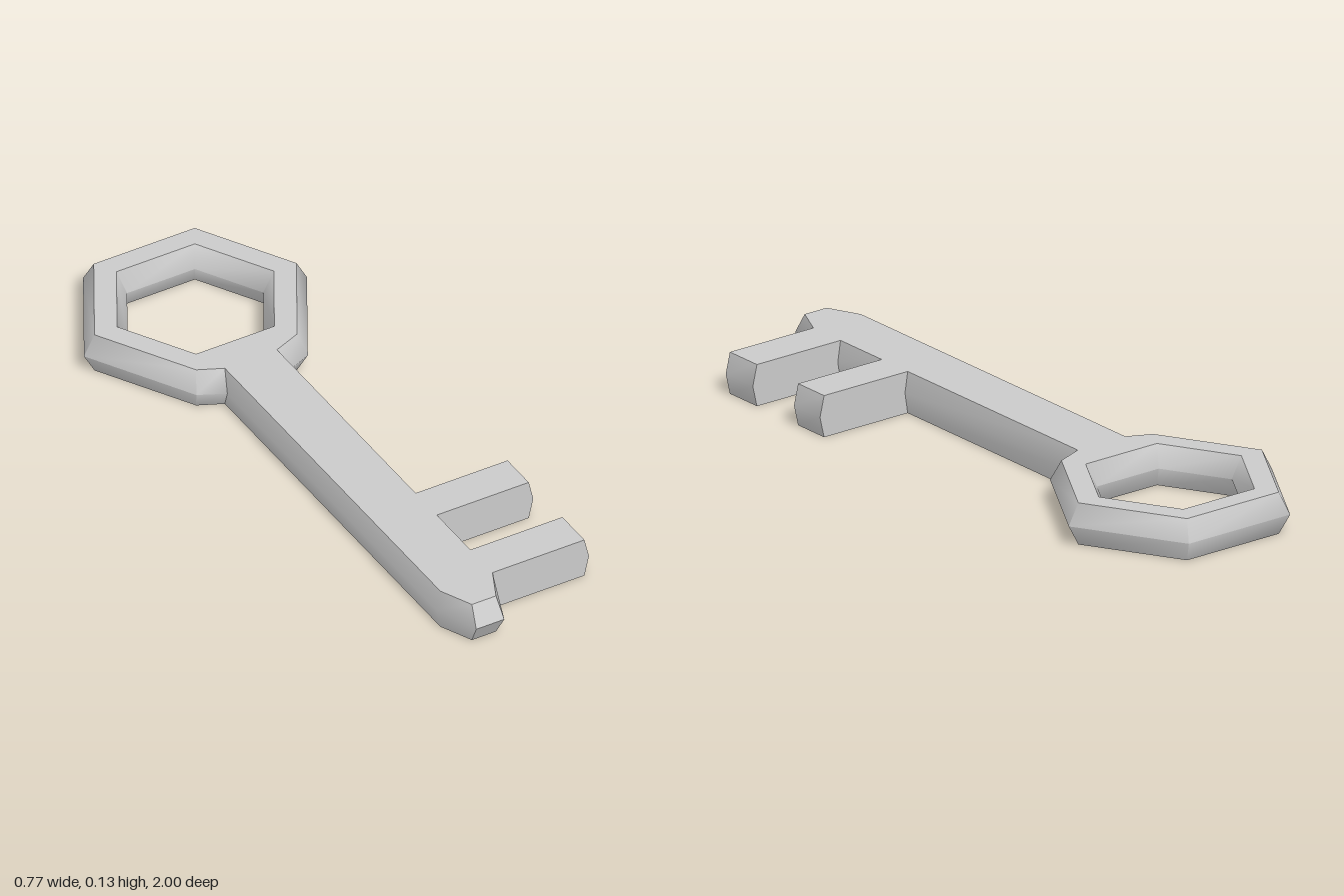
import * as THREE from 'three';
import { toCreasedNormals } from 'three/addons/utils/BufferGeometryUtils.js';

const H = 0.128; // thickness of the key
const material = new THREE.MeshStandardMaterial({ color: 0xcccccc });

// Flat plate with a ridge around its rim. Each outline point is
// [x, z on the flat faces, x, z on the ridge at half height].
// Outlines run counterclockwise from above, holes clockwise.
// The last edge of the outer outline is left open, where plates join.
function plate(name, outline, holes, creaseDegrees) {
  const pos = [];
  const at = (p, level) => level === 1 ? [p[2], H / 2, p[3]] : [p[0], level * H / 2, p[1]];
  const tri = (a, b, c) => pos.push(...a, ...b, ...c);

  // Rim walls, in a lower and an upper band
  [outline, ...holes].forEach((loop, k) => {
    const edges = k === 0 ? loop.length - 1 : loop.length;
    for (let i = 0; i < edges; i++) {
      const a = loop[i], b = loop[(i + 1) % loop.length];
      for (const l of [0, 1]) {
        tri(at(a, l), at(b, l), at(b, l + 1));
        tri(at(a, l), at(b, l + 1), at(a, l + 1));
      }
    }
  });

  // Top and bottom faces
  const flat = loop => loop.map(p => new THREE.Vector2(p[0], -p[1]));
  const all = [outline, ...holes].flat();
  for (const [a, b, c] of THREE.ShapeUtils.triangulateShape(flat(outline), holes.map(flat))) {
    tri(at(all[a], 2), at(all[b], 2), at(all[c], 2));
    tri(at(all[c], 0), at(all[b], 0), at(all[a], 0));
  }

  const geometry = new THREE.BufferGeometry();
  geometry.setAttribute('position', new THREE.Float32BufferAttribute(pos, 3));
  const mesh = new THREE.Mesh(toCreasedNormals(geometry, THREE.MathUtils.degToRad(creaseDegrees)), material);
  mesh.name = name;
  return mesh;
}

// Hexagon around the bow's centre, starting at its front right corner
function hexagon(faceRadius, ridgeRadius) {
  return Array.from({ length: 6 }, (_, i) => {
    const a = (i - 1) * Math.PI / 3, c = Math.cos(a), s = Math.sin(a);
    return [-0.015 + faceRadius * c, -0.68 - faceRadius * s,
      -0.015 + ridgeRadius * c, -0.68 - ridgeRadius * s];
  });
}

export function createModel() {
  const group = new THREE.Group();
  group.name = 'key';

  // Corners where the bow flares into the shaft
  const neckLeft = [0.065, -0.355, 0.075, -0.32];
  const neckRight = [-0.108, -0.355, -0.12, -0.32];

  // Hexagonal ring handle
  const hole = hexagon(0.26, 0.225).reverse();
  group.add(plate('bow', [neckLeft, ...hexagon(0.335, 0.37), neckRight], [hole], 60));

  // Teeth on the left side, from the tip backwards
  const teeth = [[0.865, 0.74], [0.55, 0.43]].flatMap(([front, back]) => [
    [0.065, front, 0.075, front],
    [0.37, front, 0.385, front],
    [0.37, back, 0.385, back],
    [0.065, back, 0.075, back],
  ]);

  // Shaft with a tapered tip
  group.add(plate('shaftWithTeeth', [
    neckRight,
    [-0.108, 0.865, -0.12, 0.865],
    [-0.062, 0.965, -0.068, 1],
    [0.018, 0.965, 0.025, 1],
    ...teeth,
    neckLeft,
  ], [], 50));

  return group;
}
